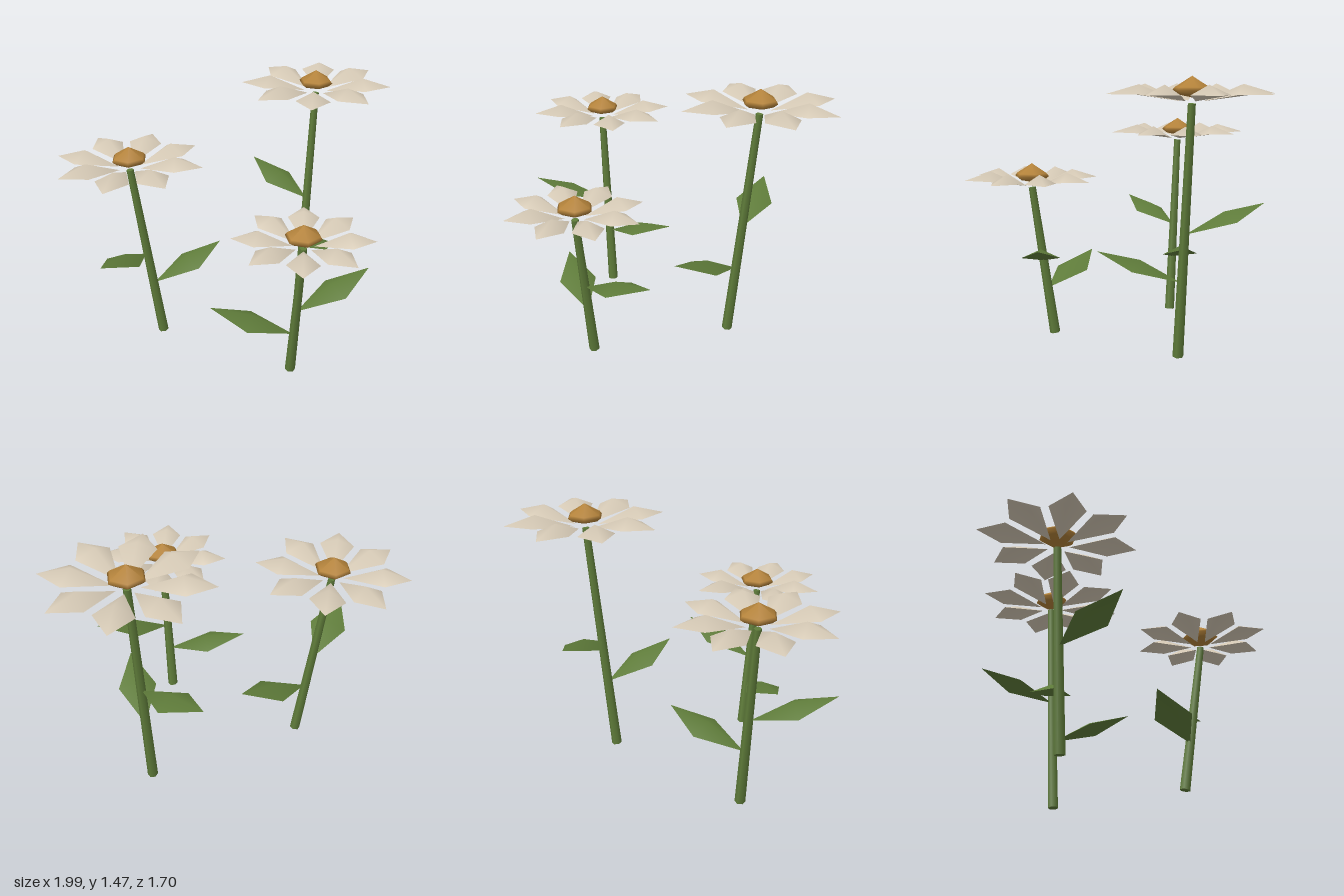
import * as THREE from 'three';

const V = (x, y, z) => new THREE.Vector3(x, y, z);
const mat = (name, color, side = THREE.FrontSide) => {
  const m = new THREE.MeshStandardMaterial({ color, side });
  m.name = name;
  return m;
};

// Diamond-shaped sheet with a raised middle, running from a to b
function blade(a, b, halfWidth, cornerAt, cornerUp, ridgeAt, ridgeUp) {
  const up = V(0, 1, 0);
  const side = b.clone().sub(a).cross(up).normalize().multiplyScalar(halfWidth);
  const corner = a.clone().lerp(b, cornerAt).addScaledVector(up, cornerUp);
  const ridge = a.clone().lerp(b, ridgeAt).addScaledVector(up, ridgeUp);
  const points = [a, b, corner.clone().add(side), corner.clone().sub(side), ridge];
  const g = new THREE.BufferGeometry().setFromPoints(points);
  g.setIndex([0, 2, 4, 2, 1, 4, 1, 3, 4, 3, 0, 4]);
  g.computeVertexNormals();
  return g;
}

export function createModel() {
  const green = mat('leaf green', 0x5f7c3a);
  const leafGreen = mat('leaf green', 0x5f7c3a, THREE.DoubleSide);
  const cream = mat('petal cream', 0xd6cab6, THREE.DoubleSide);
  const gold = mat('centre gold', 0xb3823a);

  const add = (parent, name, geometry, material) => {
    const mesh = new THREE.Mesh(geometry, material);
    mesh.name = name;
    parent.add(mesh);
    return mesh;
  };

  const petalGeometry = blade(V(0.06, 0.013, 0), V(0.41, 0.048, 0), 0.093, 0.62, 0.013, 0.55, 0.063);
  const centreGeometry = new THREE.LatheGeometry(
    [[0, 0.03], [0.075, 0.045], [0.1, 0.065], [0.088, 0.08], [0, 0.135]].map(([r, y]) => new THREE.Vector2(r, y)),
    6, Math.PI / 6);

  // Stem ends, head size and turn, and each leaf's root and tip
  const flowers = [
    {
      base: V(-0.475, 0.003, -0.38), top: V(-0.585, 1.065, -0.44), radius: 0.413, turn: 0,
      leaves: [[V(-0.54, 0.535, -0.41), V(-0.915, 0.675, -0.18)], [V(-0.5, 0.335, -0.4), V(-0.05, 0.475, -0.4)]],
    },
    {
      base: V(0.445, 0.003, -0.255), top: V(0.56, 1.33, -0.288), radius: 0.433, turn: 0.09,
      leaves: [[V(0.5, 0.665, -0.275), V(0.405, 0.807, -0.715)], [V(0.48, 0.41, -0.26), V(0.33, 0.555, 0.16)]],
    },
    {
      base: V(-0.065, 0.003, 0.365), top: V(-0.08, 0.845, 0.483), radius: 0.373, turn: 0.15,
      leaves: [[V(-0.075, 0.265, 0.4), V(-0.43, 0.41, 0.115)], [V(-0.07, 0.425, 0.425), V(0.385, 0.57, 0.47)]],
    },
  ];

  const model = new THREE.Group();
  model.name = 'flowers';
  for (const f of flowers) {
    const flower = new THREE.Group();
    flower.name = 'flower';
    model.add(flower);

    // Leaning, tapered stem
    const lean = f.top.clone().sub(f.base);
    const stem = add(flower, 'stem', new THREE.CylinderGeometry(0.02, 0.029, lean.length(), 6), green);
    stem.position.copy(f.base).addScaledVector(lean, 0.5);
    stem.quaternion.setFromUnitVectors(V(0, 1, 0), lean.clone().normalize());

    for (const [root, tip] of f.leaves) {
      add(flower, 'leaf', blade(root, tip, 0.105, 0.53, -0.01, 0.48, 0.04), leafGreen);
    }

    // Level flower head
    const head = new THREE.Group();
    head.name = 'flowerHead';
    head.position.copy(f.top);
    head.rotation.y = f.turn;
    flower.add(head);
    add(head, 'centre', centreGeometry, gold);
    const s = f.radius / 0.41;
    for (let i = 0; i < 8; i++) {
      const petal = add(head, 'petal', petalGeometry, cream);
      petal.rotation.y = (i * Math.PI) / 4;
      petal.scale.set(s, 1, s);
    }
  }
  return model;
}
